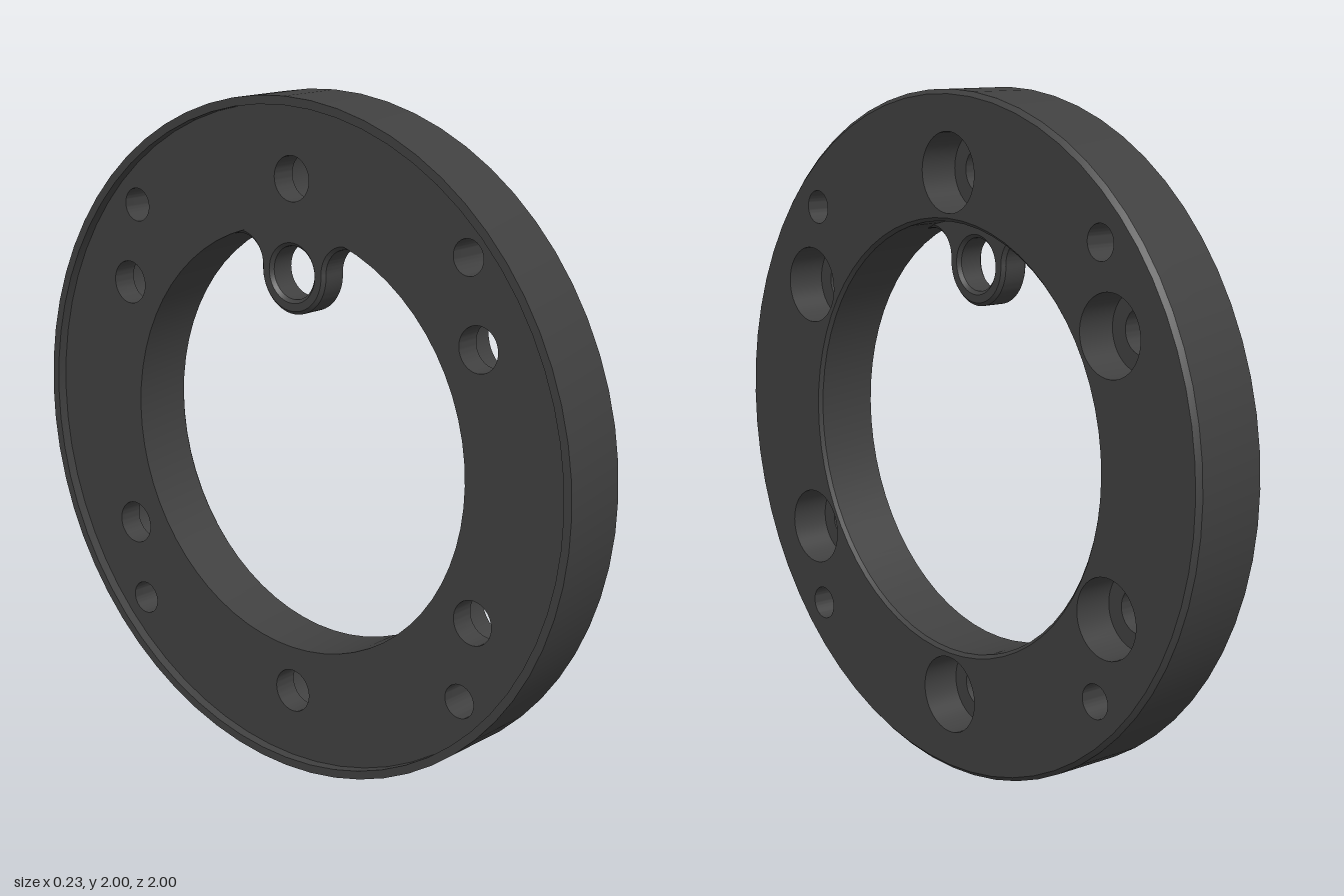
import * as THREE from 'three';
import { toCreasedNormals } from 'three/addons/utils/BufferGeometryUtils.js';

const SEG = 64;
const FRONT = 0.113, BACK = -0.113, FLOOR = -0.083, SEAT = -0.007;

export function createModel() {
  const group = new THREE.Group();
  const material = new THREE.MeshStandardMaterial({ color: 0x404040 });

  const add = (name, geometry, y = 0, z = 0) => {
    const mesh = new THREE.Mesh(geometry, material);
    mesh.name = name;
    mesh.position.set(0, 1 + y, z);
    group.add(mesh);
  };

  // Surface turned about the x axis from [radius, x] points; a falling x faces inward
  const turned = (points) => {
    const g = new THREE.LatheGeometry(points.map(([r, x]) => new THREE.Vector2(r, x)), SEG);
    return toCreasedNormals(g.rotateZ(-Math.PI / 2), 0.5);
  };
  const circle = (Type, x, y, r) => new Type().absarc(x, y, r, 0, Math.PI * 2, false);

  // Hole layout as [z, y] from the ring centre
  const onCircle = (count, radius, start) => Array.from({ length: count }, (_, i) => {
    const a = start + (i * Math.PI * 2) / count;
    return [radius * Math.cos(a), radius * Math.sin(a)];
  });
  const bolts = onCircle(6, 0.768, Math.PI / 2);
  const pins = onCircle(4, 0.885, Math.PI / 4);

  // Flat annular face pierced by the holes
  const face = (outer, inner, boltRadius, x, turn) => {
    const shape = circle(THREE.Shape, 0, 0, outer);
    shape.holes.push(circle(THREE.Path, 0, 0, inner));
    bolts.forEach(([z, y]) => shape.holes.push(circle(THREE.Path, z, y, boltRadius)));
    pins.forEach(([z, y]) => shape.holes.push(circle(THREE.Path, z, y, 0.05)));
    return new THREE.ShapeGeometry(shape, SEG / 2).rotateY(turn).translate(x, 0, 0);
  };

  // Ring: chamfered rim with a thin lip around the recessed rear face
  add('outerRim', turned([[0.975, FLOOR], [0.975, BACK], [1, BACK], [1, 0.1], [0.987, FRONT]]));
  add('bore', turned([[0.64, FRONT], [0.63, 0.103], [0.63, FLOOR]]));
  add('boltFace', face(0.987, 0.64, 0.115, FRONT, Math.PI / 2));
  add('recessedFace', face(0.975, 0.63, 0.065, FLOOR, -Math.PI / 2));

  // Counterbored bolt holes and plain pin holes
  bolts.forEach(([z, y]) => add('boltHole',
    turned([[0.115, FRONT], [0.115, SEAT], [0.065, SEAT], [0.065, FLOOR]]), y, z));
  pins.forEach(([z, y]) => add('pinHole', turned([[0.05, FRONT], [0.05, FLOOR]]), y, z));

  // Eyelet lug blended into the top of the bore by two fillets
  const lean = Math.atan2(0.51, 0.2);
  const tilt = Math.atan2(0.01, 0.2);
  const root = Math.atan2(0.584, 0.229);
  const lug = new THREE.Shape();
  lug.absarc(0.2, 0.51, 0.08, lean, Math.PI + tilt, false);
  lug.absarc(0, 0.5, 0.12, tilt, Math.PI - tilt, true);
  lug.absarc(-0.2, 0.51, 0.08, -tilt, Math.PI - lean, false);
  lug.absarc(0, 0, 0.645, Math.PI - root, root, true);
  lug.holes.push(circle(THREE.Path, 0, 0.5, 0.077));
  const bevel = 0.01;
  const lugGeometry = new THREE.ExtrudeGeometry(lug, {
    depth: 0.092 - 2 * bevel, curveSegments: 20, bevelEnabled: true, bevelSegments: 1,
    bevelSize: bevel, bevelThickness: bevel, bevelOffset: -bevel,
  });
  lugGeometry.translate(0, 0, FLOOR + 0.001 + bevel).rotateY(Math.PI / 2);
  add('eyeletLug', toCreasedNormals(lugGeometry, 0.5));

  return group;
}
